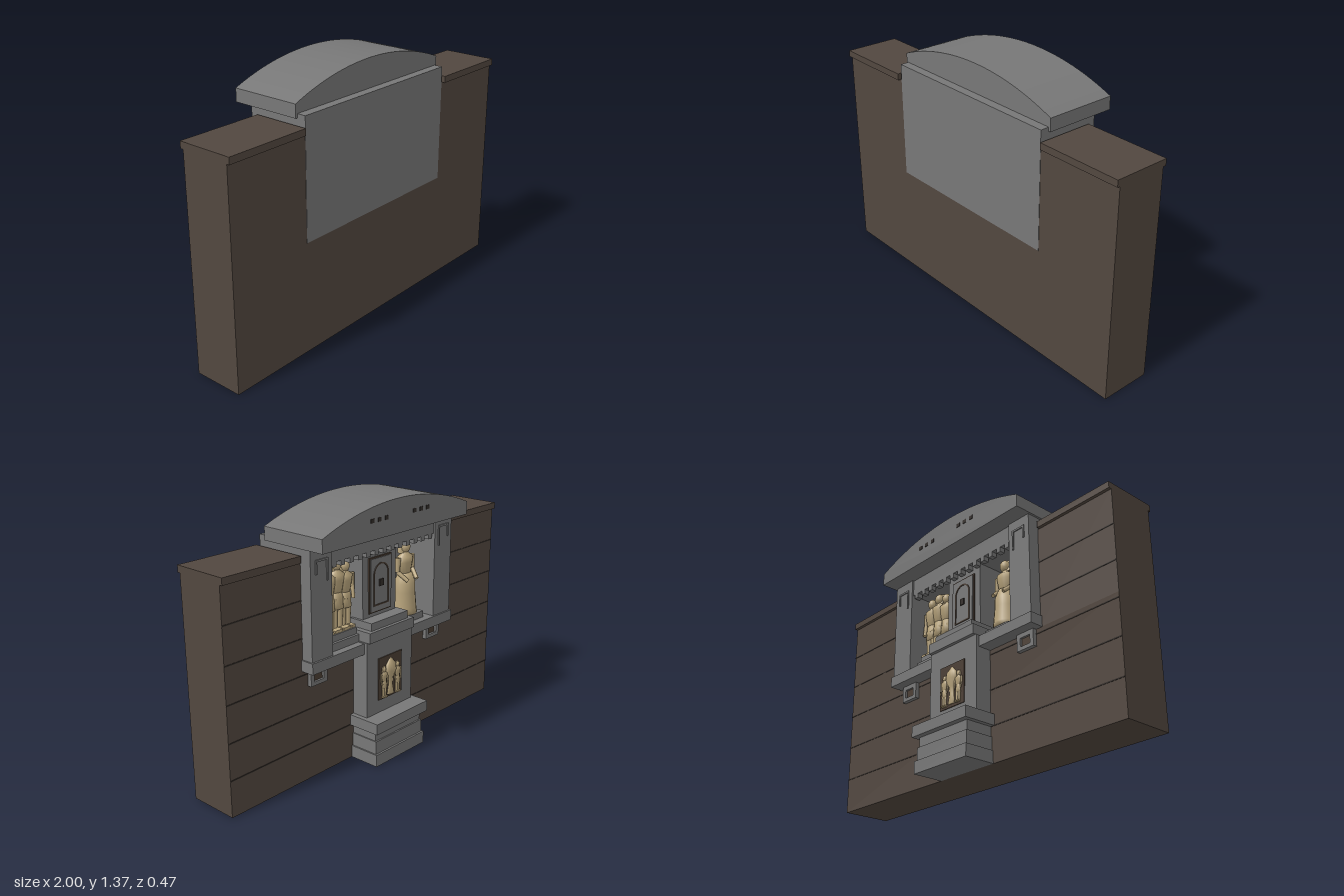
import * as THREE from 'three';

const mat = (name, color, side = THREE.FrontSide) => {
  const m = new THREE.MeshStandardMaterial({ color, side });
  m.name = name;
  return m;
};

export function createModel() {
  const root = new THREE.Group();
  root.name = 'wallMonument';
  const stone = mat('greyStone', 0x777777);
  const brick = mat('brownWall', 0x52473f);
  const joint = mat('darkJoint', 0x332d29);
  const tan = mat('tanCarving', 0xb8a47c);
  const plaque = mat('plaqueBrown', 0x4a3d33);

  const add = (name, geo, material, parent = root) => {
    const m = new THREE.Mesh(geo, material);
    m.name = name;
    parent.add(m);
    return m;
  };
  // box given by its limits on each axis
  const box = (name, x0, x1, y0, y1, z0, z1, material, parent) => {
    const g = new THREE.BoxGeometry(x1 - x0, y1 - y0, z1 - z0);
    g.translate((x0 + x1) / 2, (y0 + y1) / 2, (z0 + z1) / 2);
    return add(name, g, material, parent);
  };
  // same box on both sides of the centre
  const pair = (name, x0, x1, ...rest) => {
    box(name + 'Left', x0, x1, ...rest);
    box(name + 'Right', -x1, -x0, ...rest);
  };

  // wall, coping and course joints on the decorated side
  box('lowerWall', -1, 1, 0, 0.59, -0.05, 0.22, brick);
  pair('sideWall', 0.527, 1, 0.59, 1.127, -0.05, 0.22, brick);
  pair('coping', 0.538, 1, 1.125, 1.16, -0.067, 0.235, brick);
  for (let i = 1; i < 6; i++) {
    const y = i * 0.188;
    if (y < 0.59) box('courseJoint', -1, 1, y - 0.003, y + 0.003, -0.052, -0.049, joint);
    else pair('courseJoint', 0.528, 1, y - 0.003, y + 0.003, -0.052, -0.049, joint);
  }

  // shrine: back slab, pillars, lintel with dentils, ledge
  box('backSlab', -0.527, 0.527, 0.588, 1.213, 0.08, 0.222, stone);
  pair('pillar', 0.387, 0.527, 0.64, 1.195, -0.115, 0.08, stone);
  box('lintel', -0.387, 0.387, 1.1, 1.195, -0.105, 0.08, stone);
  for (let i = 0; i < 13; i++) {
    const x = -0.36 + i * 0.06;
    box('dentil', x - 0.014, x + 0.014, 1.075, 1.1, -0.105, -0.075, stone);
  }
  box('ledge', -0.535, 0.535, 0.588, 0.645, -0.125, 0.08, stone);

  // raised trim on the pillars
  pair('trimTop', 0.415, 0.497, 1.13, 1.14, -0.121, -0.114, stone);
  pair('trimInner', 0.415, 0.424, 1.03, 1.13, -0.121, -0.114, stone);
  pair('trimOuter', 0.488, 0.497, 1.07, 1.13, -0.121, -0.114, stone);

  // framed brackets under the ledge
  pair('bracketSideA', 0.385, 0.408, 0.5, 0.588, -0.072, -0.05, stone);
  pair('bracketSideB', 0.472, 0.495, 0.5, 0.588, -0.072, -0.05, stone);
  pair('bracketBottom', 0.408, 0.472, 0.5, 0.52, -0.072, -0.05, stone);
  pair('bracketTop', 0.408, 0.472, 0.565, 0.588, -0.072, -0.05, stone);
  pair('bracketPanel', 0.408, 0.472, 0.52, 0.565, -0.06, -0.052, plaque);

  // arched roof
  const w = 0.538, cy = -0.066, r = 1.431, a = Math.asin(w / r);
  const roofShape = new THREE.Shape();
  roofShape.moveTo(-w, 1.192);
  roofShape.lineTo(w, 1.192);
  roofShape.absarc(0, cy, r, Math.PI / 2 - a, Math.PI / 2 + a, false);
  const roofGeo = new THREE.ExtrudeGeometry(roofShape, { depth: 0.38, bevelEnabled: false, curveSegments: 40 });
  roofGeo.translate(0, 0, -0.205);
  add('archedRoof', roofGeo, stone);
  for (const cx of [-0.155, 0.155])
    for (const dx of [-0.05, 0, 0.05])
      box('roofSlot', cx + dx - 0.012, cx + dx + 0.012, 1.275, 1.295, -0.208, -0.204, joint);

  // pedestal
  box('plinth', -0.19, 0.19, 0, 0.065, -0.222, -0.05, stone);
  box('plinthStep', -0.182, 0.182, 0.065, 0.135, -0.211, -0.05, stone);
  box('plinthNeck', -0.176, 0.176, 0.135, 0.187, -0.203, -0.05, stone);
  box('pedestalCap', -0.2, 0.2, 0.187, 0.245, -0.234, -0.05, stone);
  box('pedestalStem', -0.175, 0.175, 0.245, 0.65, -0.142, -0.05, stone);
  box('altarSlab', -0.17, 0.17, 0.65, 0.705, -0.16, 0, stone);
  box('altarStep', -0.14, 0.14, 0.705, 0.745, -0.142, 0, stone);

  // central block with an arched door
  box('doorBlock', -0.125, 0.125, 0.645, 1.1, -0.07, 0.08, stone);
  box('doorFrame', -0.084, 0.084, 0.765, 1.055, -0.077, -0.07, plaque);
  box('doorPanel', -0.076, 0.076, 0.773, 1.047, -0.081, -0.077, stone);
  const arch = (hw, base, spring) => {
    const s = new THREE.Shape();
    s.moveTo(-hw, base);
    s.lineTo(hw, base);
    s.absarc(0, spring, hw, 0, Math.PI, false);
    return s;
  };
  const archRim = arch(0.056, 0.8, 0.965);
  archRim.holes.push(arch(0.049, 0.807, 0.965));
  const rimGeo = new THREE.ExtrudeGeometry(archRim, { depth: 0.004, bevelEnabled: false, curveSegments: 12 });
  rimGeo.translate(0, 0, -0.085);
  add('doorArchRim', rimGeo, plaque);
  box('doorLatch', -0.014, 0.014, 0.9, 0.935, -0.087, -0.081, joint);

  // carved people, one unit tall, facing -z
  const limb = (p, q, r0, r1, name, g) => {
    const A = new THREE.Vector3(...p), B = new THREE.Vector3(...q), d = B.clone().sub(A);
    const m = add(name, new THREE.CylinderGeometry(r1, r0, d.length(), 8), tan, g);
    m.position.copy(A).addScaledVector(d, 0.5);
    m.quaternion.setFromUnitVectors(new THREE.Vector3(0, 1, 0), d.normalize());
  };
  const lathe = (pts, name, g, flat = 0.7) => {
    const geo = new THREE.LatheGeometry(pts.map(p => new THREE.Vector2(...p)), 14);
    add(name, geo, tan, g).scale.z = flat;
  };
  const figure = (name, x, y, z, h, robed, depth = 1) => {
    const g = new THREE.Group();
    g.name = name;
    g.position.set(x, y, z);
    g.scale.set(h, h, h * depth);
    root.add(g);
    if (robed) {
      lathe([[0, 0], [0.18, 0], [0.17, 0.08], [0.15, 0.3], [0.15, 0.42], [0.1, 0.55], [0, 0.56]], 'robe', g, 0.9);
    } else {
      for (const s of [-1, 1]) {
        limb([s * 0.05, 0, 0], [s * 0.05, 0.45, 0], 0.04, 0.055, 'leg', g);
        box('foot', s * 0.05 - 0.04, s * 0.05 + 0.04, 0, 0.04, -0.12, 0.04, tan, g);
      }
      lathe([[0, 0.3], [0.11, 0.3], [0.095, 0.42], [0.085, 0.54], [0, 0.55]], 'kilt', g);
    }
    lathe([[0, 0.5], [0.085, 0.52], [0.12, 0.7], [0.125, 0.77], [0.05, 0.82], [0.04, 0.86], [0, 0.87]], 'torso', g);
    for (const s of [-1, 1]) {
      limb([s * 0.14, 0.77, 0], [s * 0.15, 0.58, 0], 0.038, 0.03, 'upperArm', g);
      limb([s * 0.15, 0.58, 0], robed ? [s * 0.09, 0.47, -0.13] : [s * 0.13, 0.4, -0.04], 0.03, 0.025, 'forearm', g);
    }
    const head = add('head', new THREE.SphereGeometry(0.07, 12, 8), tan, g);
    head.position.y = 0.9;
    head.scale.y = 1.2;
    lathe([[0.095, 0.82], [0.085, 0.92], [0.06, 0.98], [0, 1]], 'headdress', g, 0.6);
    g.children[g.children.length - 1].position.z = 0.035;
    g.children[g.children.length - 1].material = tanOpen;
  };
  const tanOpen = mat('tanCarving', 0xb8a47c, THREE.DoubleSide);

  // niche statues: standing group on one side, robed figure on the other
  box('statuePlinth', 0.16, 0.36, 0.645, 0.685, -0.085, 0.08, stone);
  box('statuePlinthTop', 0.17, 0.35, 0.685, 0.72, -0.07, 0.08, stone);
  [0.2, 0.26, 0.32].forEach((x, i) => figure('standingFigure', x, 0.72, -0.02, [0.35, 0.37, 0.36][i], false));
  box('robedPlinth', -0.34, -0.18, 0.645, 0.68, -0.085, 0.08, stone);
  figure('robedFigure', -0.26, 0.68, -0.02, 0.4, true);

  // relief plaque on the pedestal
  box('reliefPlaque', -0.09, 0.09, 0.315, 0.545, -0.147, -0.14, plaque);
  figure('reliefFigureLeft', 0.052, 0.325, -0.152, 0.17, false, 0.6);
  figure('reliefFigureRight', -0.052, 0.325, -0.152, 0.17, false, 0.6);
  const urn = new THREE.Group();
  urn.name = 'reliefUrn';
  urn.position.set(0, 0.33, -0.148);
  root.add(urn);
  lathe([[0, 0], [0.025, 0], [0.015, 0.05], [0.018, 0.09], [0.04, 0.13], [0.035, 0.165], [0.012, 0.19], [0, 0.2]], 'urn', urn, 0.55);

  return root;
}
